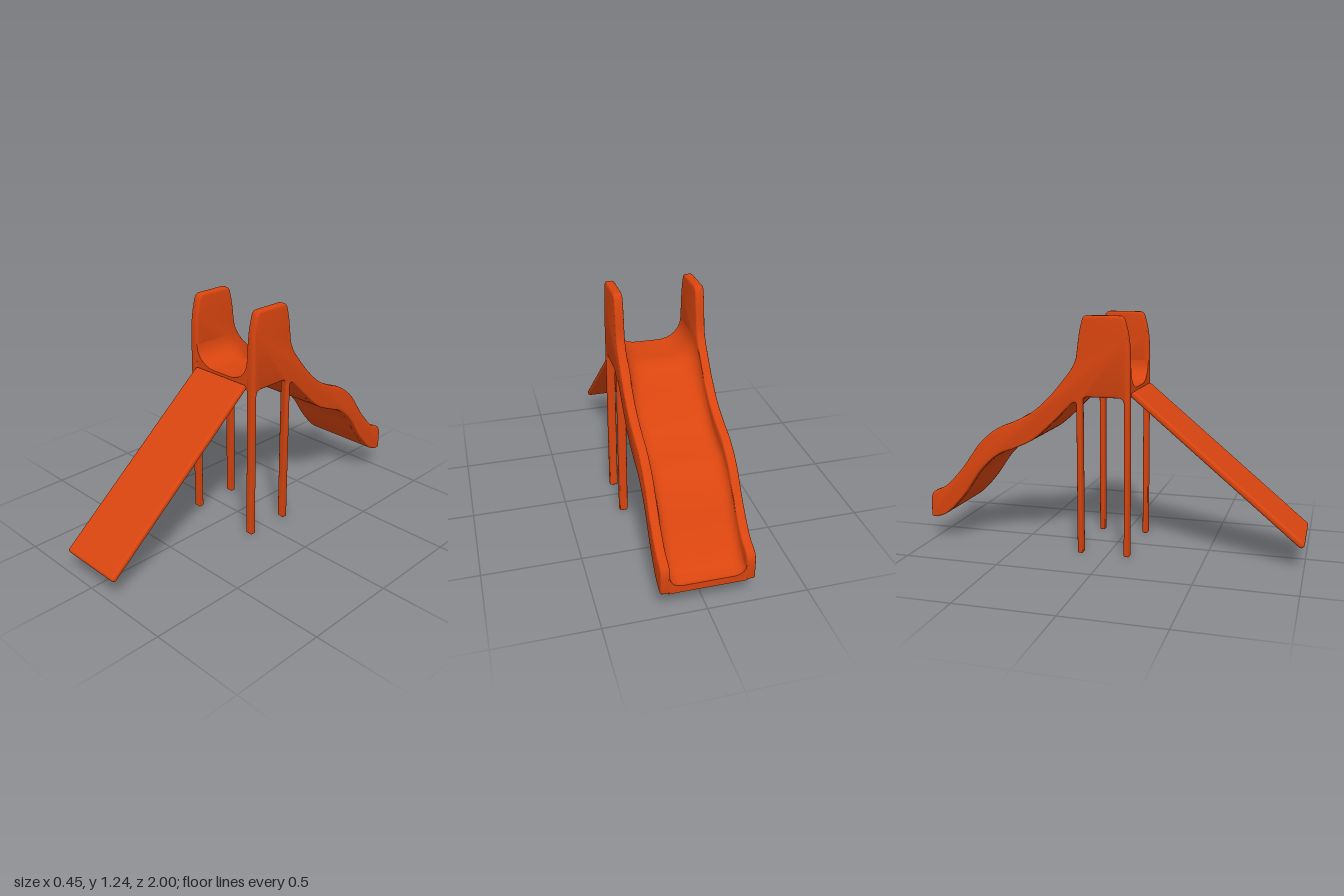
import * as THREE from 'three';
import { toCreasedNormals } from 'three/addons/utils/BufferGeometryUtils.js';
import { RoundedBoxGeometry } from 'three/addons/geometries/RoundedBoxGeometry.js';

const plastic = new THREE.MeshStandardMaterial({ color: 0xd9450f });
const V = (x, y) => new THREE.Vector2(x, y);

// Side profile of the chute, as (z, y): underside runs from platform to exit
const underside = [
  V(-0.2, 0.78), V(-0.3, 0.68), V(-0.4, 0.593), V(-0.5, 0.543), V(-0.6, 0.5),
  V(-0.7, 0.41), V(-0.8, 0.27), V(-0.9, 0.163), V(-0.97, 0.13),
];
const rim = [
  V(-0.2, 0.95), V(-0.3, 0.83), V(-0.4, 0.74), V(-0.5, 0.686), V(-0.6, 0.642),
  V(-0.7, 0.56), V(-0.8, 0.425), V(-0.9, 0.317), V(-0.97, 0.28),
];

// Side panel: guard, chute wall and both legs in one outline
function sidePanelGeometry() {
  const s = new THREE.Shape();
  s.moveTo(0.12, 0.005);
  s.lineTo(0.12, 1.0);
  s.bezierCurveTo(0.12, 1.12, 0.105, 1.17, 0.092, 1.215);
  s.quadraticCurveTo(0.085, 1.24, 0.06, 1.24);
  s.lineTo(-0.1, 1.24);
  s.quadraticCurveTo(-0.12, 1.24, -0.128, 1.215);
  s.bezierCurveTo(-0.15, 1.14, -0.15, 1.08, -0.16, 1.03);
  s.quadraticCurveTo(-0.17, 0.99, -0.2, 0.95);
  s.splineThru(rim.slice(1));
  s.quadraticCurveTo(-1.0, 0.265, -1.0, 0.22);
  s.lineTo(-1.0, 0.14);
  s.quadraticCurveTo(-1.0, 0.128, -0.97, 0.13);
  s.splineThru(underside.slice(0, -1).reverse());
  s.quadraticCurveTo(-0.16, 0.82, -0.16, 0.78);
  s.lineTo(-0.16, 0.005);
  s.lineTo(-0.155, 0);
  s.lineTo(-0.135, 0);
  s.lineTo(-0.13, 0.005);
  s.lineTo(-0.13, 0.8);
  s.quadraticCurveTo(-0.128, 0.83, -0.1, 0.83);
  s.lineTo(0.06, 0.83);
  s.quadraticCurveTo(0.088, 0.83, 0.09, 0.8);
  s.lineTo(0.09, 0.005);
  s.lineTo(0.095, 0);
  s.lineTo(0.115, 0);
  const width = 0.046, bevel = 0.01;
  const g = new THREE.ExtrudeGeometry(s, {
    depth: width - 2 * bevel, curveSegments: 6,
    bevelEnabled: true, bevelSize: bevel, bevelThickness: bevel, bevelOffset: -bevel, bevelSegments: 3,
  });
  g.translate(0, 0, bevel - width / 2);
  g.rotateY(-Math.PI / 2);
  return toCreasedNormals(g, 0.7);
}

// Platform and chute floor: a trough section swept along the underside
function bedGeometry() {
  const path = new THREE.SplineCurve([
    V(0.118, 0.83), V(0.05, 0.83), V(-0.05, 0.83), V(-0.11, 0.83), V(-0.155, 0.815),
    ...underside, V(-0.998, 0.128),
  ]);
  const stations = 90, fillet = 8, thickness = 0.039, half = 0.181;
  const rings = [];
  for (let i = 0; i <= stations; i++) {
    const p = path.getPoint(i / stations);
    const t = path.getTangent(i / stations);
    const n = V(t.y, -t.x); // points upward while travelling towards -z
    // the corner fillet shrinks from the platform to the chute
    const k = THREE.MathUtils.smoothstep(p.x, -0.3, -0.05);
    const rx = THREE.MathUtils.lerp(0.06, 0.12, k);
    const ry = THREE.MathUtils.lerp(0.045, 0.11, k);
    const right = [];
    for (let j = 0; j <= fillet; j++) {
      const a = (j / fillet) * Math.PI / 2;
      right.push([half - rx + rx * Math.sin(a), thickness + ry * (1 - Math.cos(a))]);
    }
    right.push([0.19, thickness + ry]);
    const top = [...right.map(([x, h]) => [-x, h]).reverse(), ...right];
    const loop = [...top, ...top.map(([x]) => [x, 0]).reverse()];
    rings.push(loop.map(([x, h]) => [x, p.y + n.y * h, Math.max(-1, Math.min(0.118, p.x + n.x * h))]));
  }
  const pos = [];
  const quad = (a, b, c, d) => pos.push(...a, ...b, ...c, ...a, ...c, ...d);
  const m = rings[0].length;
  for (let i = 0; i < stations; i++) {
    const A = rings[i], B = rings[i + 1];
    for (let j = 0; j < m; j++) {
      const k = (j + 1) % m;
      quad(A[j], A[k], B[k], B[j]);
    }
  }
  // end caps
  const A = rings[0], B = rings[stations];
  for (let j = 0; j < m / 2 - 1; j++) {
    quad(A[j], A[m - 1 - j], A[m - 2 - j], A[j + 1]);
    quad(B[j], B[j + 1], B[m - 2 - j], B[m - 1 - j]);
  }
  const g = new THREE.BufferGeometry();
  g.setAttribute('position', new THREE.Float32BufferAttribute(pos, 3));
  return toCreasedNormals(g, 0.7);
}

export function createModel() {
  const model = new THREE.Group();
  model.name = 'playgroundSlide';
  const add = (name, geometry) => {
    const mesh = new THREE.Mesh(geometry, plastic);
    mesh.name = name;
    model.add(mesh);
    return mesh;
  };

  const panel = sidePanelGeometry();
  add('leftSidePanel', panel).position.x = 0.204;
  add('rightSidePanel', panel).position.x = -0.204;
  add('platformAndChute', bedGeometry());

  // Climbing ramp leaning on the front of the platform
  const ramp = add('climbingRamp', new RoundedBoxGeometry(0.36, 0.034, 1.14, 4, 0.014));
  ramp.position.set(0, 0.487, 0.556);
  ramp.rotation.x = Math.atan2(0.73, 0.878);

  return model;
}
